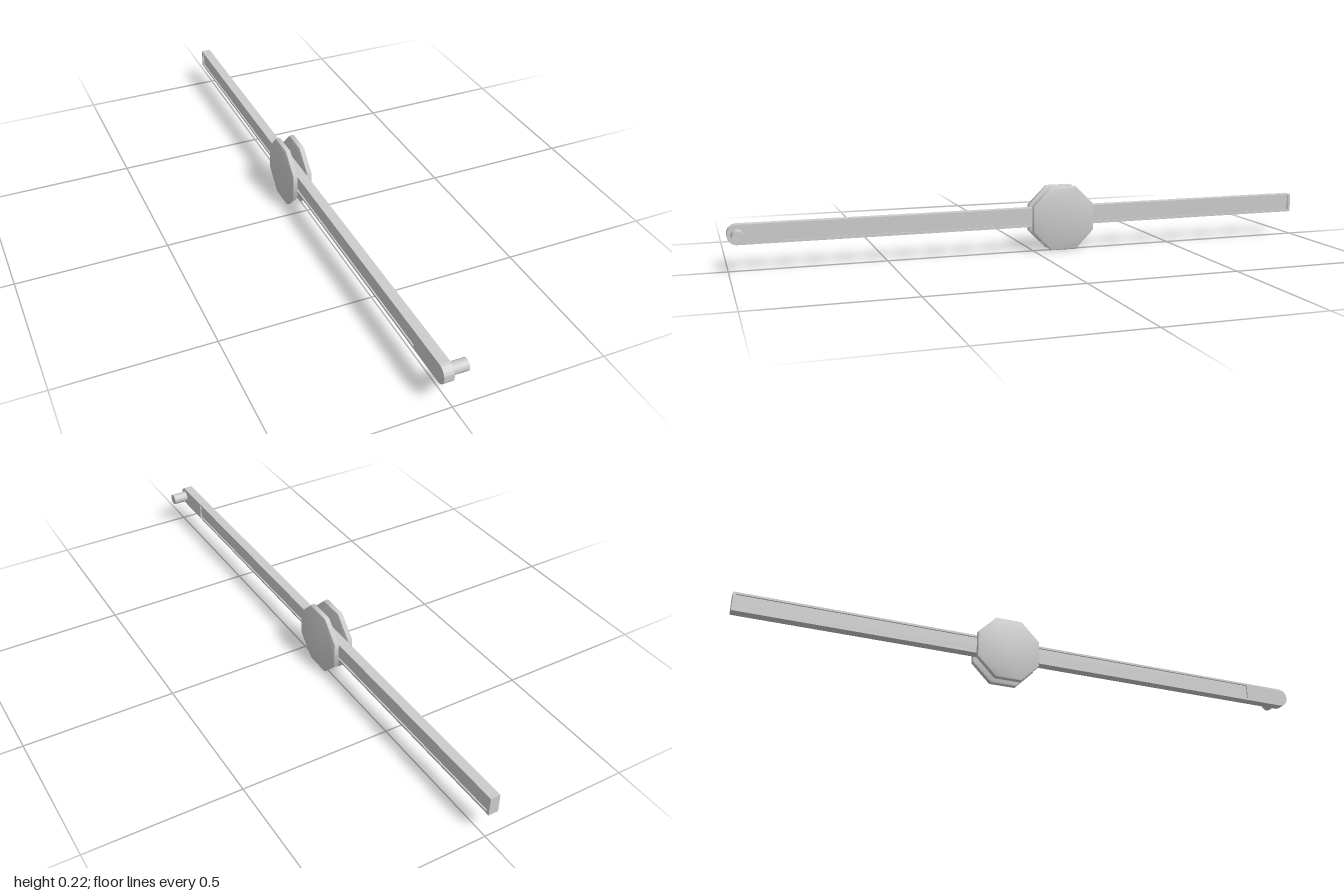
import * as THREE from 'three';
import { toCreasedNormals } from 'three/addons/utils/BufferGeometryUtils.js';

const material = new THREE.MeshStandardMaterial({ color: 0xcccccc });
const MID_Y = 0.114, BAR_X = -0.0185, BAR_W = 0.033, BAR_R = 0.032;
const PIN_Z = 0.968, HUB_Z = -0.105, HUB_Y = 0.1085;

function addMesh(group, name, geometry, x, y, z) {
  const mesh = new THREE.Mesh(geometry, material);
  mesh.name = name;
  mesh.position.set(x, y, z);
  group.add(mesh);
}

// Extrudes a (z, y) outline along x, centred on x = 0
function extrudeAcross(shape, width, bevel = 0) {
  const depth = width - 2 * bevel;
  const geometry = new THREE.ExtrudeGeometry(shape, {
    depth, curveSegments: 16, bevelEnabled: bevel > 0,
    bevelSize: bevel, bevelThickness: bevel, bevelOffset: -bevel, bevelSegments: 2,
  });
  return geometry.translate(0, 0, -depth / 2).rotateY(-Math.PI / 2);
}

export function createModel() {
  const group = new THREE.Group();

  // Long bar, rounded at the front, with a long opening for the side recesses
  const outline = new THREE.Shape();
  outline.moveTo(-1, -BAR_R);
  outline.lineTo(PIN_Z, -BAR_R);
  outline.absarc(PIN_Z, 0, BAR_R, -Math.PI / 2, Math.PI / 2, false);
  outline.lineTo(-1, BAR_R);
  outline.closePath();
  const z0 = -0.99, z1 = 0.83, h = 0.025;
  outline.holes.push(new THREE.Path([
    new THREE.Vector2(z0, -h), new THREE.Vector2(z0, h),
    new THREE.Vector2(z1, h), new THREE.Vector2(z1, -h),
  ]));
  addMesh(group, 'bar', toCreasedNormals(extrudeAcross(outline, BAR_W), 0.6), BAR_X, MID_Y, 0);

  // Thin web closing the opening, set back from both sides
  addMesh(group, 'recessedWeb', new THREE.BoxGeometry(BAR_W - 0.01, 2 * h, z1 - z0),
    BAR_X, MID_Y, (z0 + z1) / 2);

  // Octagonal plates clamped either side of the bar
  const corners = [];
  for (let i = 0; i < 8; i++) {
    const a = (i + 0.5) * Math.PI / 4;
    corners.push(new THREE.Vector2(Math.cos(a), Math.sin(a)).multiplyScalar(0.1174));
  }
  const plate = toCreasedNormals(extrudeAcross(new THREE.Shape(corners), 0.017, 0.003), 0.9);
  addMesh(group, 'rightPlate', plate, -0.0435, HUB_Y, HUB_Z);
  addMesh(group, 'leftPlate', plate, 0.0065, HUB_Y, HUB_Z);

  // Crank pin at the rounded end
  const pin = new THREE.CylinderGeometry(0.0195, 0.0195, 0.056, 24).rotateZ(-Math.PI / 2);
  addMesh(group, 'pin', pin, 0.0235, MID_Y, PIN_Z);

  return group;
}
